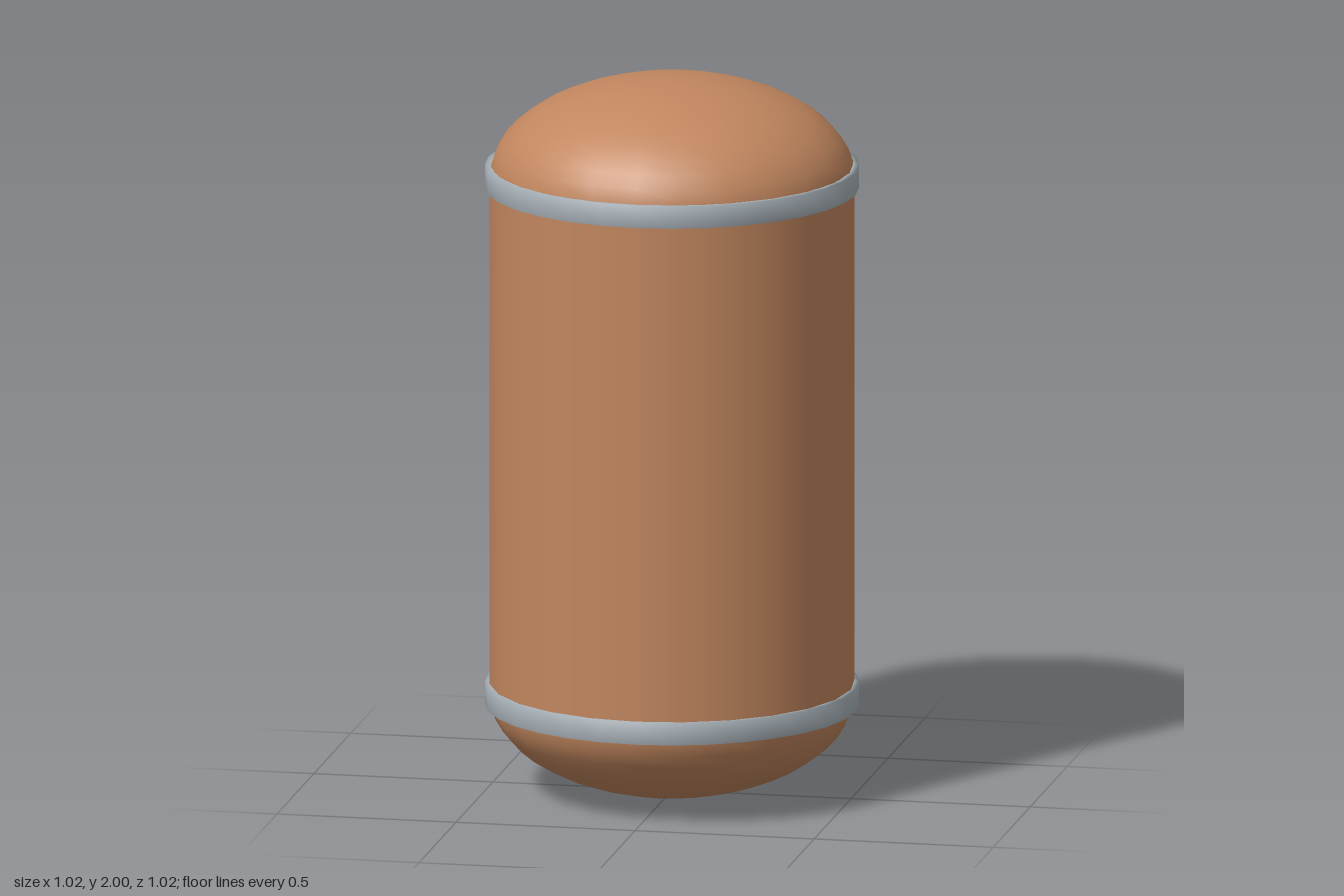
import * as THREE from 'three';

export function createModel() {
  const group = new THREE.Group();
  const copper = new THREE.MeshStandardMaterial({ color: 0xc1865e });
  copper.name = 'copper';
  const steel = new THREE.MeshStandardMaterial({ color: 0xaab4bb });
  steel.name = 'steel';

  const radius = 0.5, capHeight = 0.275, sides = 24;

  const add = (name, geometry, material, y) => {
    const mesh = new THREE.Mesh(geometry, material);
    mesh.name = name;
    mesh.position.y = y;
    group.add(mesh);
  };

  // Straight tank wall
  add('tankWall', new THREE.CylinderGeometry(radius, radius, 2 - 2 * capHeight, sides, 1, true), copper, 1);

  // Flattened domes closing both ends
  const dome = new THREE.SphereGeometry(radius, sides, 12, 0, Math.PI * 2, 0, Math.PI / 2);
  dome.scale(1, capHeight / radius, 1);
  add('topDome', dome, copper, 2 - capHeight);
  add('bottomDome', dome.clone().rotateX(Math.PI), copper, capHeight);

  // Thin bands over the seams, with softly shaded rims
  const profile = [[0.495, -0.031], [0.512, -0.031], [0.512, 0.031], [0.495, 0.031]]
    .map(([x, y]) => new THREE.Vector2(x, y));
  const band = new THREE.LatheGeometry(profile, 32);
  add('topBand', band, steel, 2 - capHeight);
  add('bottomBand', band, steel, capHeight);

  return group;
}
